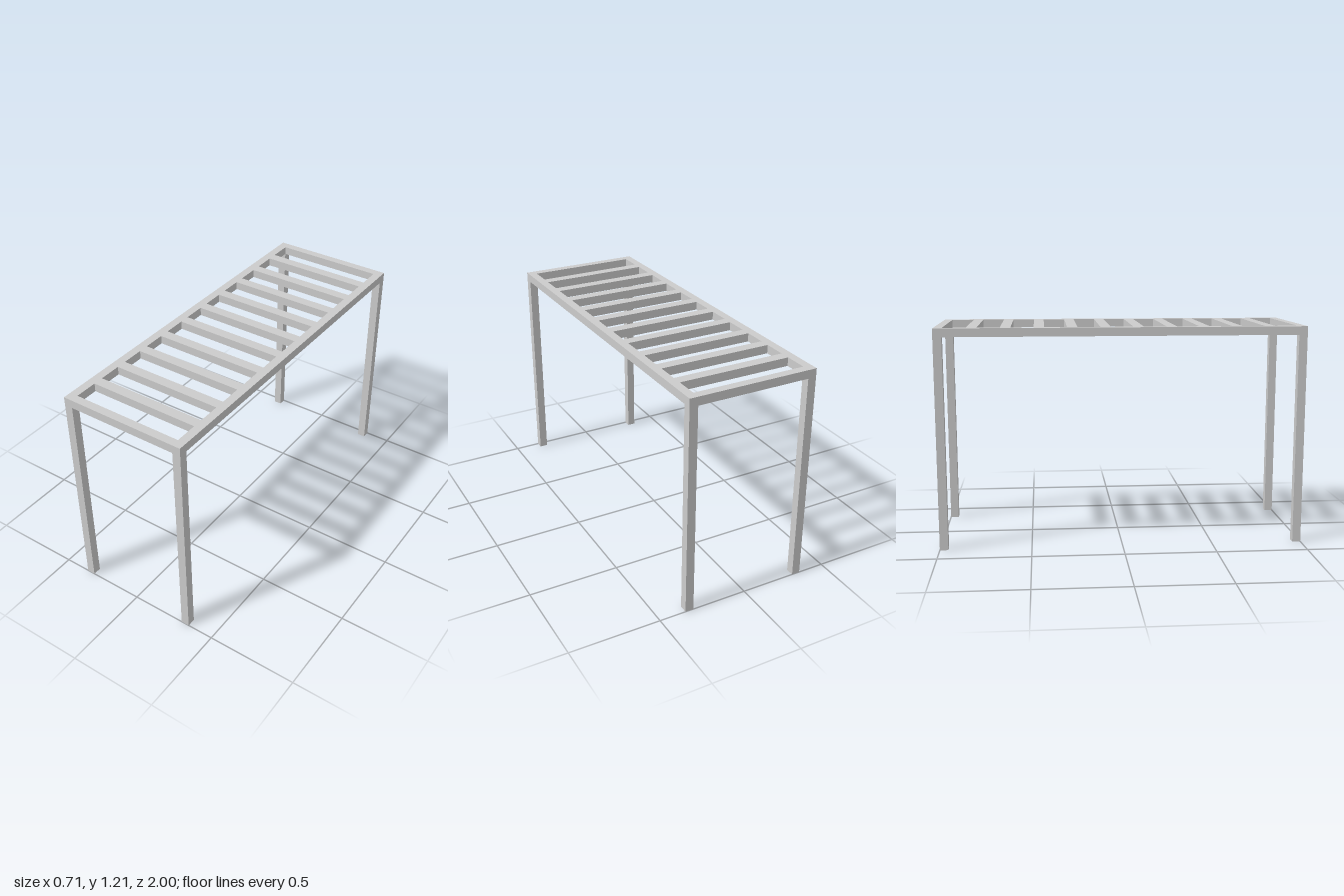
import * as THREE from 'three';

const WIDTH = 0.706, LENGTH = 2, HEIGHT = 1.205, BAR = 0.046;
const RUNGS = 10, PITCH = 0.178, RUNG_WIDTH = 0.056;

// Closed rectangle, usable as an outline or a hole
function rectangle(PathType, x0, y0, x1, y1) {
  const path = new PathType();
  path.moveTo(x0, y0).lineTo(x1, y0).lineTo(x1, y1).lineTo(x0, y1).closePath();
  return path;
}

export function createModel() {
  const group = new THREE.Group();
  const material = new THREE.MeshStandardMaterial({ color: 0xcccccc, flatShading: true });

  // Ladder top: one slab with the openings between the rungs cut out
  const outline = rectangle(THREE.Shape, -WIDTH / 2, -LENGTH / 2, WIDTH / 2, LENGTH / 2);
  const innerX = WIDTH / 2 - BAR, innerZ = LENGTH / 2 - BAR;
  let start = -innerZ;
  for (let i = 0; i <= RUNGS; i++) {
    const rung = (i - (RUNGS - 1) / 2) * PITCH;
    const end = i < RUNGS ? rung - RUNG_WIDTH / 2 : innerZ;
    outline.holes.push(rectangle(THREE.Path, -innerX, start, innerX, end));
    start = rung + RUNG_WIDTH / 2;
  }
  const topGeometry = new THREE.ExtrudeGeometry(outline, { depth: BAR, bevelEnabled: false });
  topGeometry.rotateX(-Math.PI / 2);
  const ladderTop = new THREE.Mesh(topGeometry, material);
  ladderTop.name = 'ladderTop';
  ladderTop.position.y = HEIGHT - BAR;
  group.add(ladderTop);

  // Four square corner posts
  const postHeight = HEIGHT - BAR;
  const postGeometry = new THREE.BoxGeometry(BAR, postHeight, BAR);
  for (const [sx, side] of [[1, 'Left'], [-1, 'Right']]) {
    for (const [sz, end] of [[1, 'front'], [-1, 'back']]) {
      const post = new THREE.Mesh(postGeometry, material);
      post.name = `${end}${side}Post`;
      post.position.set(sx * (WIDTH - BAR) / 2, postHeight / 2, sz * (LENGTH - BAR) / 2);
      group.add(post);
    }
  }
  return group;
}
